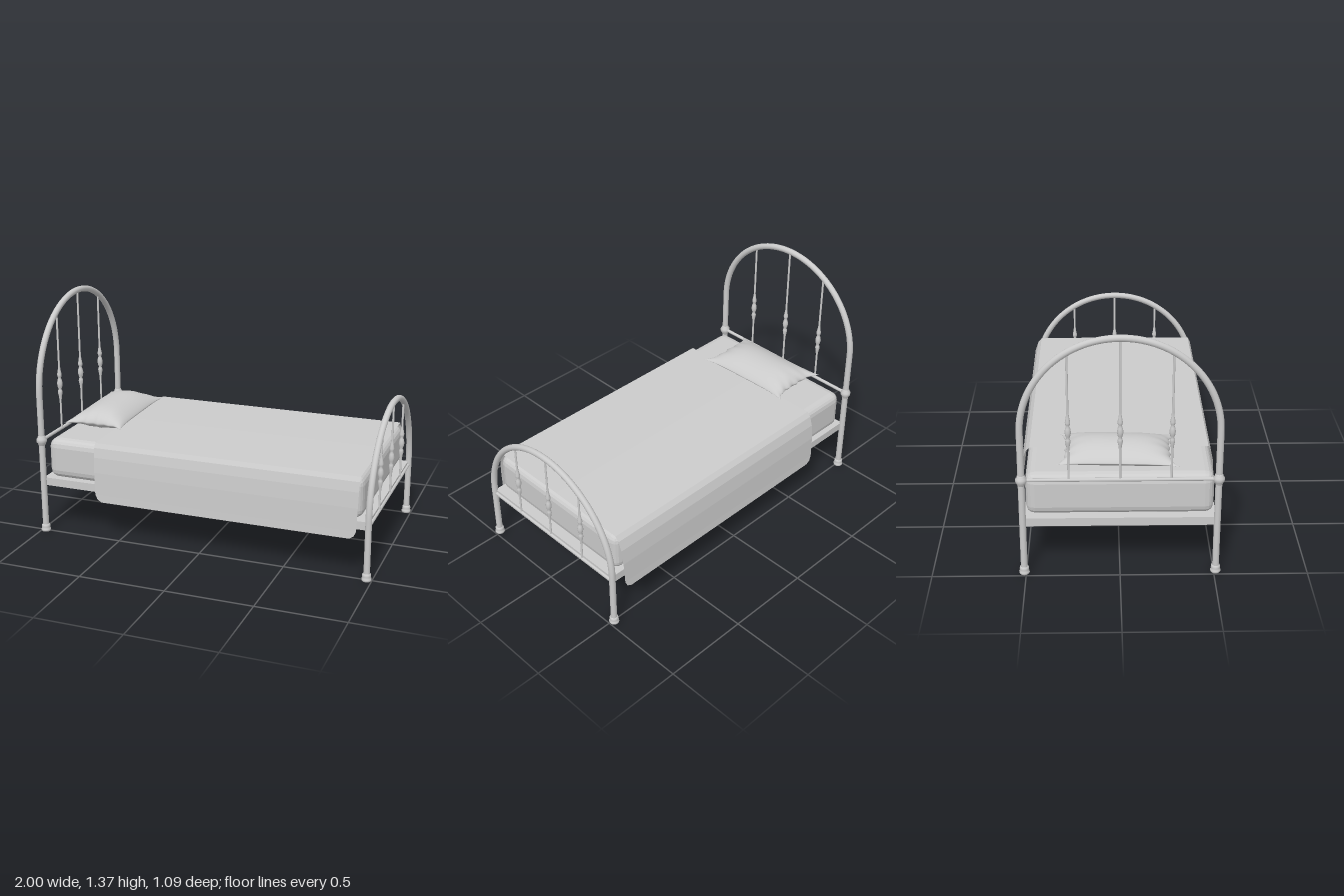
import * as THREE from 'three';
import { mergeVertices } from 'three/addons/utils/BufferGeometryUtils.js';
import { RoundedBoxGeometry } from 'three/addons/geometries/RoundedBoxGeometry.js';

const smooth = new THREE.MeshStandardMaterial({ color: 0xcccccc });
const flat = new THREE.MeshStandardMaterial({ color: 0xcccccc, flatShading: true });
const sheet = new THREE.MeshStandardMaterial({ color: 0xcccccc, flatShading: true, side: THREE.DoubleSide });

const END_X = 0.972;   // head and foot frames at -x and +x
const POST_Z = 0.51;
const TUBE_R = 0.018;

function add(parent, name, geometry, material, x = 0, y = 0, z = 0) {
  const mesh = new THREE.Mesh(geometry, material);
  mesh.name = name;
  mesh.position.set(x, y, z);
  parent.add(mesh);
  return mesh;
}

function lathe(points, sides = 16) {
  return new THREE.LatheGeometry(points.map(([r, y]) => new THREE.Vector2(r, y)), sides);
}

// Posts and semicircular top as one bent tube
function archGeometry(springY) {
  const path = new THREE.CurvePath();
  const v = (y, z) => new THREE.Vector3(0, y, z);
  path.add(new THREE.LineCurve3(v(0.03, POST_Z), v(springY, POST_Z)));
  const arc = new THREE.Curve();
  arc.getPoint = (t, target = new THREE.Vector3()) =>
    target.set(0, springY + POST_Z * Math.sin(Math.PI * t), POST_Z * Math.cos(Math.PI * t));
  path.add(arc);
  path.add(new THREE.LineCurve3(v(springY, -POST_Z), v(0.03, -POST_Z)));
  return new THREE.TubeGeometry(path, 120, TUBE_R, 12);
}

// Thin rod with a bulb and a tapering vase above and below it
function spindleGeometry(bottom, top, bulbY) {
  const r = 0.006;
  const turning = [
    [-0.105, r], [-0.08, 0.009], [-0.055, 0.014], [-0.042, 0.012], [-0.034, 0.008],
    [-0.022, 0.013], [0, 0.017], [0.022, 0.013], [0.034, 0.008],
    [0.042, 0.012], [0.055, 0.014], [0.08, 0.009], [0.105, r],
  ].map(([dy, radius]) => [radius, bulbY + dy]);
  return lathe([[r, bottom], ...turning, [r, top]], 10);
}

function endFrame(name, x, springY, railY, bulbY) {
  const frame = new THREE.Group();
  frame.name = name;
  frame.position.x = x;
  add(frame, 'archTube', archGeometry(springY), smooth);
  for (const side of [1, -1]) {
    const foot = lathe([[0, 0], [0.024, 0], [0.028, 0.006], [0.028, 0.014], [0.023, 0.02],
      [0.025, 0.028], [0.024, 0.04], [0.018, 0.044]]);
    add(frame, 'foot', foot, smooth, 0, 0, side * POST_Z);
  }
  for (const z of [-0.265, 0, 0.265]) {
    const top = springY + Math.sqrt(POST_Z ** 2 - z ** 2);
    add(frame, 'spindle', spindleGeometry(railY, top, bulbY), smooth, 0, 0, z);
  }
  const rail = add(frame, 'crossRail', new THREE.CylinderGeometry(0.01, 0.01, 2 * POST_Z, 10), smooth, 0, railY, 0);
  rail.rotation.x = Math.PI / 2;
  return frame;
}

// Sheet over the mattress, hanging on both long sides with rounded lower corners
function blanketGeometry() {
  const half = [[0.545, 0.235, 0.045], [0.544, 0.25, 0.02], [0.542, 0.28, 0.007], [0.537, 0.41, 0.003],
    [0.526, 0.5, 0.001], [0.507, 0.555, 0], [0.485, 0.581, 0]];
  const front = half.map(([z, y, inset]) => [Math.min(z, 0.522 - (0.545 - z) * 0.6), y, inset]);
  const back = half.map(([z, y, inset]) => [-z, y, inset]).reverse();
  const rows = [...front, [0, 0.585, 0], ...back];
  const positions = [], index = [];
  for (const [z, y, inset] of rows) positions.push(-0.64 + inset, y, z, 0.915 - inset, y, z);
  for (let i = 0; i < rows.length - 1; i++) {
    const a = 2 * i;
    index.push(a, a + 1, a + 3, a, a + 3, a + 2);
  }
  const g = new THREE.BufferGeometry();
  g.setAttribute('position', new THREE.Float32BufferAttribute(positions, 3));
  g.setIndex(index);
  g.computeVertexNormals();
  return g;
}

// Closed cushion: a sphere-like wrap of two square grids with pinched corners
function pillowGeometry() {
  const n = 32;
  const positions = [], index = [];
  for (const side of [1, -1]) {
    const base = positions.length / 3;
    for (let i = 0; i <= n; i++) {
      for (let j = 0; j <= n; j++) {
        // Sine spacing puts more points near the seams
        const u = Math.sin((i / n - 0.5) * Math.PI);
        const v = Math.sin((j / n - 0.5) * Math.PI);
        const x = 0.183 * u * (1 - 0.11 * (1 - v ** 4));
        const crease = 0.006 * Math.sin(u * 17) * (1 - u * u) * v ** 8;
        const z = 0.32 * v * (1 - 0.14 * (1 - u ** 4)) + crease;
        const puff = Math.max(0, 1 - u * u) ** 0.75 * Math.max(0, 1 - v ** 4) ** 0.65;
        const wrinkle = 1 + 0.12 * Math.sin(u * 14) * v ** 6;
        positions.push(x, side * (side > 0 ? 0.073 : 0.057) * puff * wrinkle, z);
      }
    }
    for (let i = 0; i < n; i++) {
      for (let j = 0; j < n; j++) {
        const a = base + i * (n + 1) + j, b = a + n + 1;
        if (side > 0) index.push(a, a + 1, b + 1, a, b + 1, b);
        else index.push(a, b + 1, a + 1, a, b, b + 1);
      }
    }
  }
  const g = new THREE.BufferGeometry();
  g.setAttribute('position', new THREE.Float32BufferAttribute(positions, 3));
  g.setIndex(index);
  const merged = mergeVertices(g, 1e-5);
  merged.computeVertexNormals();
  return merged;
}

export function createModel() {
  const bed = new THREE.Group();
  bed.name = 'bed';

  // Head and foot frames
  const head = endFrame('headboard', -END_X, 0.84, 0.565, 0.84);
  bed.add(head);
  bed.add(endFrame('footboard', END_X, 0.35, 0.312, 0.53));

  // Collars where the upper head rail meets the posts
  for (const side of [1, -1]) {
    const collar = lathe([[0.018, -0.03], [0.023, -0.022], [0.023, -0.016], [0.03, -0.008],
      [0.03, 0.008], [0.023, 0.016], [0.023, 0.022], [0.018, 0.03]]);
    add(head, 'collar', collar, smooth, 0, 0.565, side * POST_Z);
  }

  // Base and bedding
  add(bed, 'bedBase', new THREE.BoxGeometry(1.94, 0.047, 1.01), flat, 0, 0.3115, 0);
  add(bed, 'mattress', new RoundedBoxGeometry(1.875, 0.238, 0.99, 2, 0.05), flat, -0.007, 0.453, 0);
  add(bed, 'blanket', blanketGeometry(), sheet);
  const pillow = add(bed, 'pillow', pillowGeometry(), smooth, -0.748, 0.622, -0.01);
  pillow.rotation.x = 0.025;

  return bed;
}
